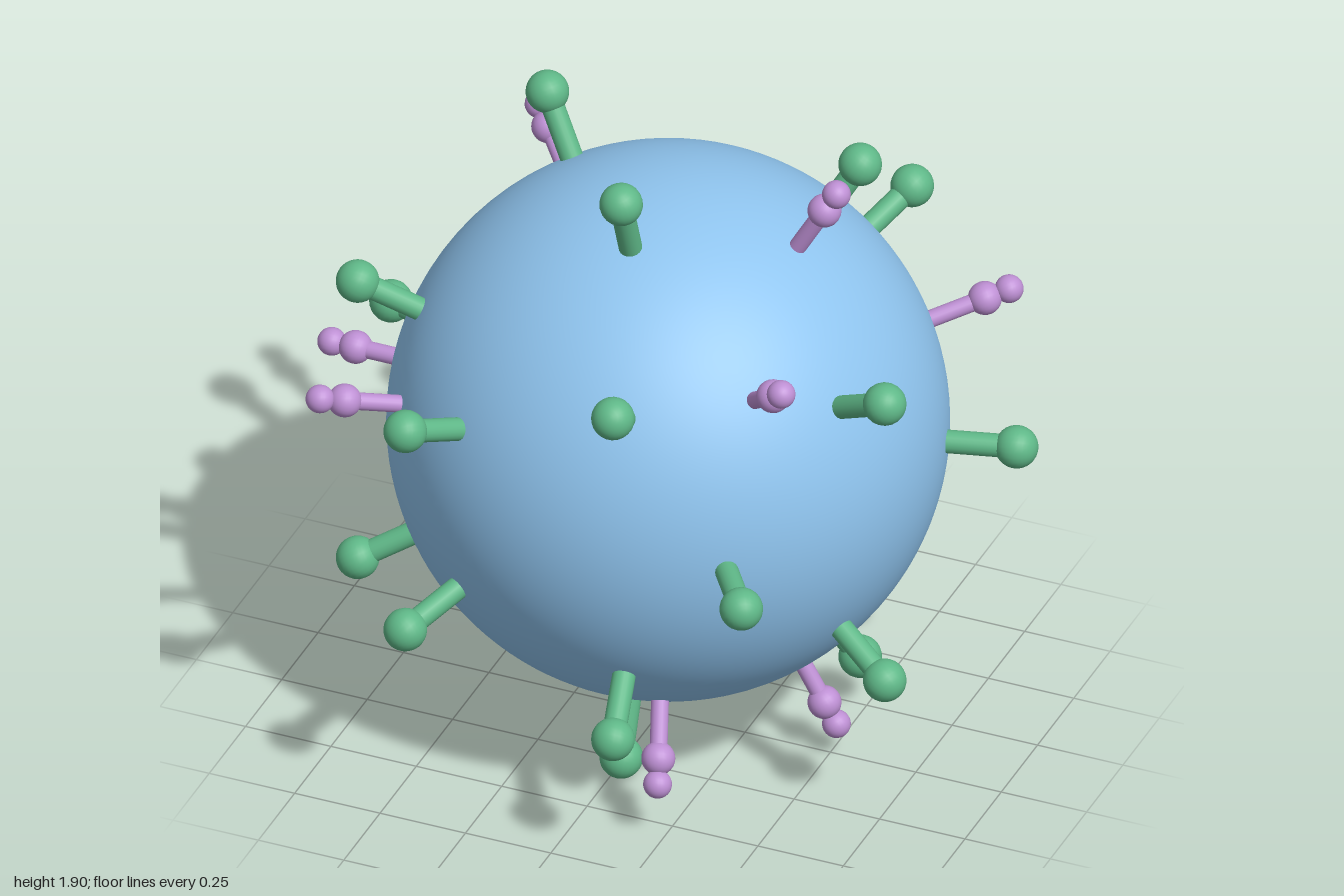
import * as THREE from 'three';

const CORE_RADIUS = 0.76;

const blue = new THREE.MeshStandardMaterial({ color: 0x8fc4ee });
const green = new THREE.MeshStandardMaterial({ color: 0x5fb888 });
const purple = new THREE.MeshStandardMaterial({ color: 0xbe90d4 });

function addMesh(parent, name, geometry, material, y = 0) {
  const mesh = new THREE.Mesh(geometry, material);
  mesh.name = name;
  mesh.position.y = y;
  parent.add(mesh);
}

// A spike built along +y from the core's centre: a stem, then beads [distance, radius]
function makeSpike(name, material, stemRadius, beads) {
  const spike = new THREE.Group();
  spike.name = name;
  const base = CORE_RADIUS - 0.06;
  const length = beads[0][0] - base;
  const stem = new THREE.CylinderGeometry(stemRadius, stemRadius, length, 20);
  addMesh(spike, name + 'Stem', stem, material, base + length / 2);
  for (const [distance, radius] of beads) {
    addMesh(spike, name + 'Bead', new THREE.SphereGeometry(radius, 24, 16), material, distance);
  }
  return spike;
}

// Repeats a spike around the z axis; each ring is [polar angle from +z, count, start angle]
function addRings(parent, spike, rings) {
  const up = new THREE.Vector3(0, 1, 0);
  for (const [polarDeg, count, startDeg] of rings) {
    const polar = THREE.MathUtils.degToRad(polarDeg);
    for (let i = 0; i < count; i++) {
      const a = THREE.MathUtils.degToRad(startDeg + (i * 360) / count);
      const direction = new THREE.Vector3(
        Math.sin(polar) * Math.cos(a), Math.sin(polar) * Math.sin(a), Math.cos(polar));
      const copy = spike.clone();
      copy.quaternion.setFromUnitVectors(up, direction);
      parent.add(copy);
    }
  }
}

export function createModel() {
  const model = new THREE.Group();
  model.name = 'virusParticle';
  model.position.set(0.025, 0.95, 0);

  // Round core
  const core = new THREE.SphereGeometry(CORE_RADIUS, 96, 64);
  core.rotateX(Math.PI / 2);
  addMesh(model, 'core', core, blue);

  // Large spikes with one round head
  const large = makeSpike('largeSpike', green, 0.032, [[0.948, 0.059]]);
  addRings(model, large, [[35, 5, 0], [70, 6, 30], [105, 6, 0], [145, 3, 45]]);

  // Slim spikes with two stacked beads
  const slim = makeSpike('slimSpike', purple, 0.024, [[0.915, 0.046], [0.985, 0.039]]);
  addRings(model, slim, [[55, 3, 45], [90, 3, 60], [125, 3, 20]]);

  const root = new THREE.Group();
  root.name = 'model';
  root.add(model);
  return root;
}
